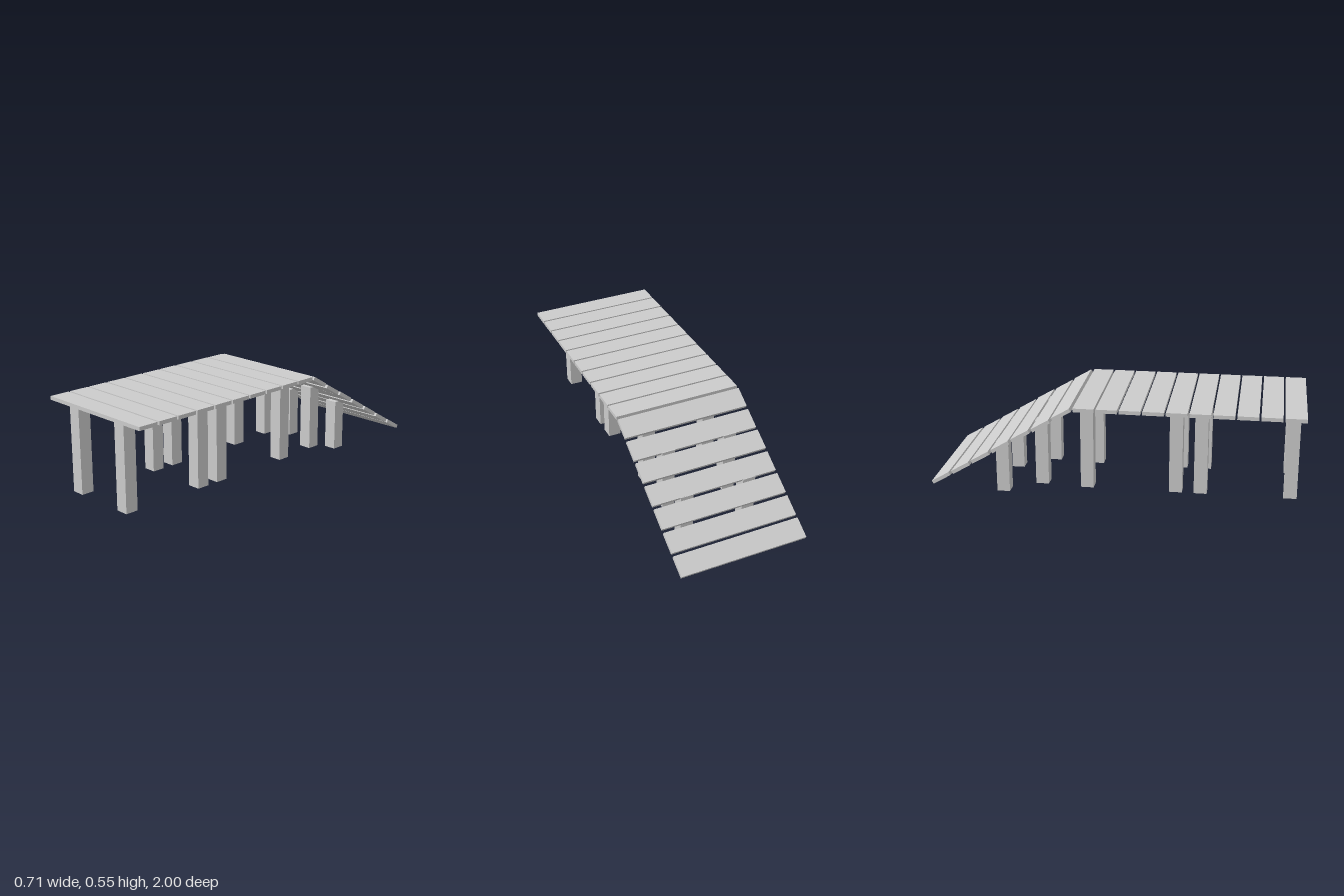
import * as THREE from 'three';

const material = new THREE.MeshStandardMaterial({ color: 0xcccccc, flatShading: true });
const WIDTH = 0.706, DEPTH = 0.112, THICK = 0.02;
const LEG = 0.071;

function addBox(parent, name, size, position, tilt = 0) {
  const mesh = new THREE.Mesh(new THREE.BoxGeometry(...size), material);
  mesh.name = name;
  mesh.position.set(...position);
  mesh.rotation.x = tilt;
  parent.add(mesh);
}

function addGroup(parent, name) {
  const group = new THREE.Group();
  group.name = name;
  parent.add(group);
  return group;
}

export function createModel() {
  const model = new THREE.Group();
  model.name = 'pier';

  // Level deck of ten evenly spaced planks
  const deck = addGroup(model, 'deck');
  for (let i = 0; i < 10; i++) {
    addBox(deck, 'deckPlank', [WIDTH, THICK, DEPTH], [0, 0.536, 0.944 - i * 0.1224]);
  }

  // Ramp sloping down to the back, its planks laid slightly unevenly
  const ramp = addGroup(model, 'ramp');
  const tilt = -THREE.MathUtils.degToRad(30.4);
  [0.506, 0.438, 0.375, 0.307, 0.241, 0.174, 0.11].forEach((y, i) => {
    addBox(ramp, 'rampPlank', [WIDTH, THICK, DEPTH], [0, y, -0.276 - i * 0.1118], tilt);
  });

  // Pairs of square legs: [z, bottom, top]
  const legs = addGroup(model, 'legs');
  const rows = [
    [0.936, 0.051, 0.526],
    [0.456, 0.051, 0.526],
    [0.322, 0.051, 0.526],
    [-0.161, 0.051, 0.526],
    [-0.41, 0.059, 0.42],
    [-0.632, 0, 0.287],
  ];
  for (const [z, bottom, top] of rows) {
    addBox(legs, 'rightLeg', [LEG, top - bottom, LEG], [-0.194, (top + bottom) / 2, z]);
    addBox(legs, 'leftLeg', [LEG, top - bottom, LEG], [0.163, (top + bottom) / 2, z]);
  }

  return model;
}
